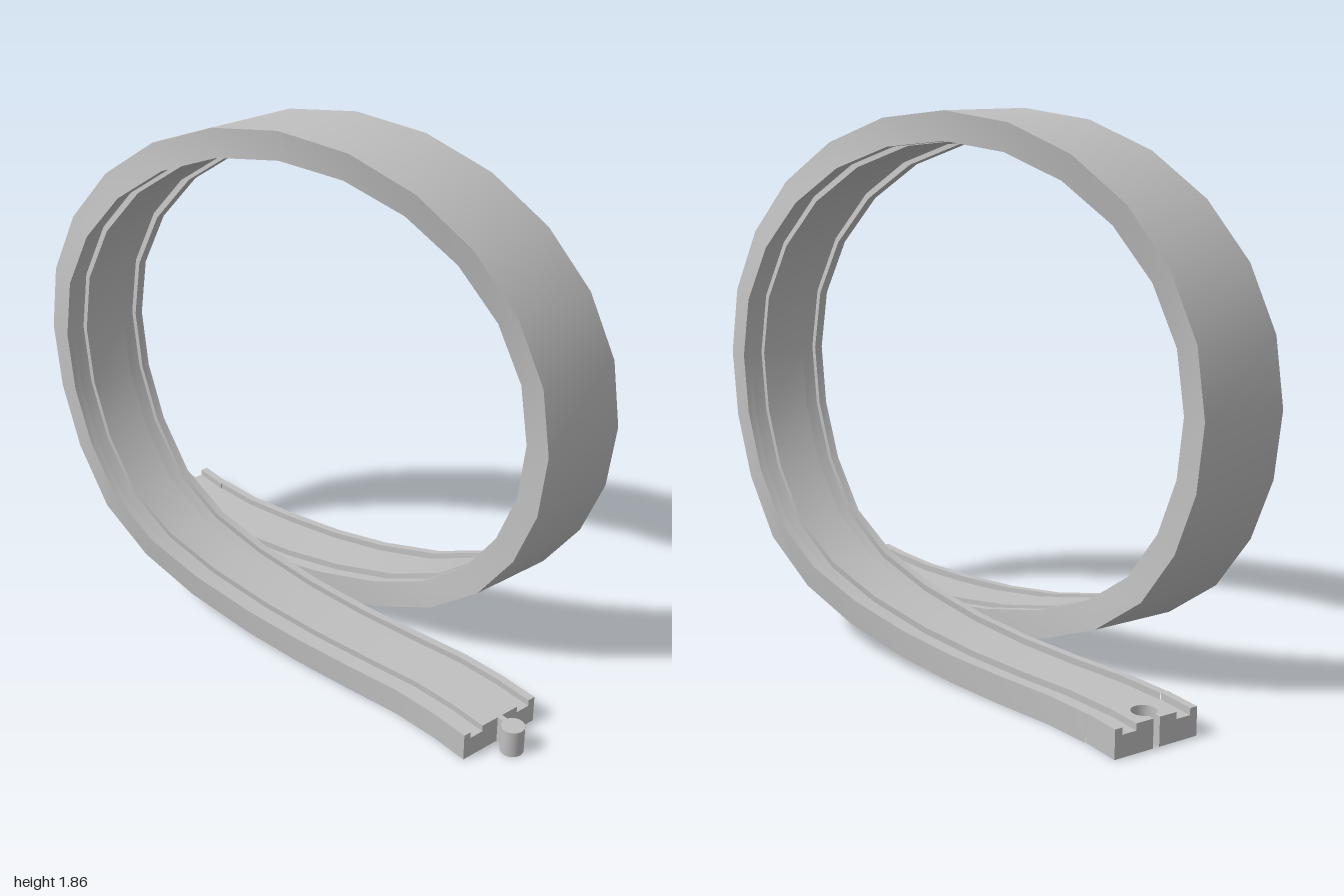
import * as THREE from 'three';
import { toCreasedNormals } from 'three/addons/utils/BufferGeometryUtils.js';

const W = 0.157, H = 0.097, G1 = 0.077, G2 = 0.13, DEPTH = 0.023; // track section
const MID = -0.05;          // z of the loop's axis
const R = 0.893, CY = 0.967; // loop radius and height of its centre
const JOINT = -0.86;        // z where the socket end begins

// Centre line of the underside as [x, y, z]: entry ramp, loop, exit ramp
function trackPath() {
  const exit = [
    [0.36, 0.736, 0.863], [0.357, 0.52, 0.773], [0.343, 0.325, 0.631],
    [0.298, 0.185, 0.45], [0.24, 0.098, 0.24], [0.175, 0.042, 0],
    [0.118, 0.014, -0.22], [0.067, 0.003, -0.43], [0.02, 0, -0.64],
    [0.003, 0, JOINT - MID],
  ];
  // The entry ramp is the exit turned half way round the vertical axis
  const entry = exit.map(([x, y, d]) => [-x, y, -d]).reverse();
  entry.unshift([0, 0, 0.95]);
  const loop = [];
  for (let a = -90; a <= 90; a += 15) {
    const t = THREE.MathUtils.degToRad(a);
    loop.push([0.36 * Math.sin(t), CY + R * Math.cos(t), R * Math.sin(t)]);
  }
  return [...entry, ...loop, ...exit].map(([x, y, d]) => [x, y, d + MID]);
}

// Sweep the grooved section; its width always stays parallel to x
function trackGeometry() {
  const F = H - DEPTH;
  const section = [
    [-W, 0], [W, 0], [W, H], [G2, H], [G2, F], [G1, F], [G1, H],
    [-G1, H], [-G1, F], [-G2, F], [-G2, H], [-W, H],
  ];
  const path = trackPath(), n = section.length;
  const pos = [], idx = [];
  path.forEach(([x, y, z], i) => {
    const p = path[Math.max(i - 1, 0)], q = path[Math.min(i + 1, path.length - 1)];
    let ty = q[1] - p[1], tz = q[2] - p[2];
    if (i === 0 || i === path.length - 1) { ty = 0; tz = -1; }
    const len = Math.hypot(ty, tz);
    for (const [u, v] of section) pos.push(x + u, y - (tz / len) * v, z + (ty / len) * v);
  });
  for (let i = 0; i < path.length - 1; i++) {
    for (let j = 0; j < n; j++) {
      const a = i * n + j, b = i * n + (j + 1) % n;
      idx.push(a, a + n, b, b, a + n, b + n);
    }
  }
  // Front end face
  const contour = section.map(([u, v]) => new THREE.Vector2(u, v));
  for (const f of THREE.ShapeUtils.triangulateShape(contour, [])) idx.push(...f);
  const g = new THREE.BufferGeometry();
  g.setAttribute('position', new THREE.Float32BufferAttribute(pos, 3));
  g.setIndex(idx);
  return toCreasedNormals(g, 0.6);
}

export function createModel() {
  const model = new THREE.Group();
  const grey = new THREE.MeshStandardMaterial({ color: 0xc0c0c0 });
  grey.name = 'light grey';
  const add = (name, geo, parent = model) => {
    const m = new THREE.Mesh(geo, grey);
    m.name = name;
    parent.add(m);
    return m;
  };
  const box = (name, x0, x1, y1, z0, z1, parent) =>
    add(name, new THREE.BoxGeometry(x1 - x0, y1, z1 - z0), parent)
      .position.set((x0 + x1) / 2, y1 / 2, (z0 + z1) / 2);

  add('loopTrack', trackGeometry());

  // Connector peg at the front
  const peg = new THREE.Group();
  peg.name = 'connectorPeg';
  model.add(peg);
  box('pegNeck', -0.01, 0.01, H, 0.895, 0.94, peg);
  add('pegHead', new THREE.CylinderGeometry(0.039, 0.039, H, 24), peg).position.set(0, H / 2, 0.961);

  // Socket end at the back: keyhole strip, groove floors and outer rails
  const socket = new THREE.Group();
  socket.name = 'socketEnd';
  model.add(socket);
  const r = 0.041, neck = 0.012, a = Math.acos(neck / r);
  const s = new THREE.Shape();
  s.moveTo(-G1, -JOINT);
  s.lineTo(G1, -JOINT);
  s.lineTo(G1, 1);
  s.lineTo(neck, 1);
  s.absarc(0, 0.938, r, a, Math.PI - a, true);
  s.lineTo(-neck, 1);
  s.lineTo(-G1, 1);
  s.closePath();
  const strip = new THREE.ExtrudeGeometry(s, { depth: H, bevelEnabled: false, curveSegments: 20 });
  strip.rotateX(-Math.PI / 2);
  add('keyholeStrip', strip, socket);
  for (const [side, k] of [['left', 1], ['right', -1]]) {
    const span = (p, q) => [Math.min(k * p, k * q), Math.max(k * p, k * q)];
    box(side + 'GrooveFloor', ...span(G1, G2), H - DEPTH, -1, JOINT, socket);
    box(side + 'OuterRail', ...span(G2, W), H, -1, JOINT, socket);
  }
  return model;
}
